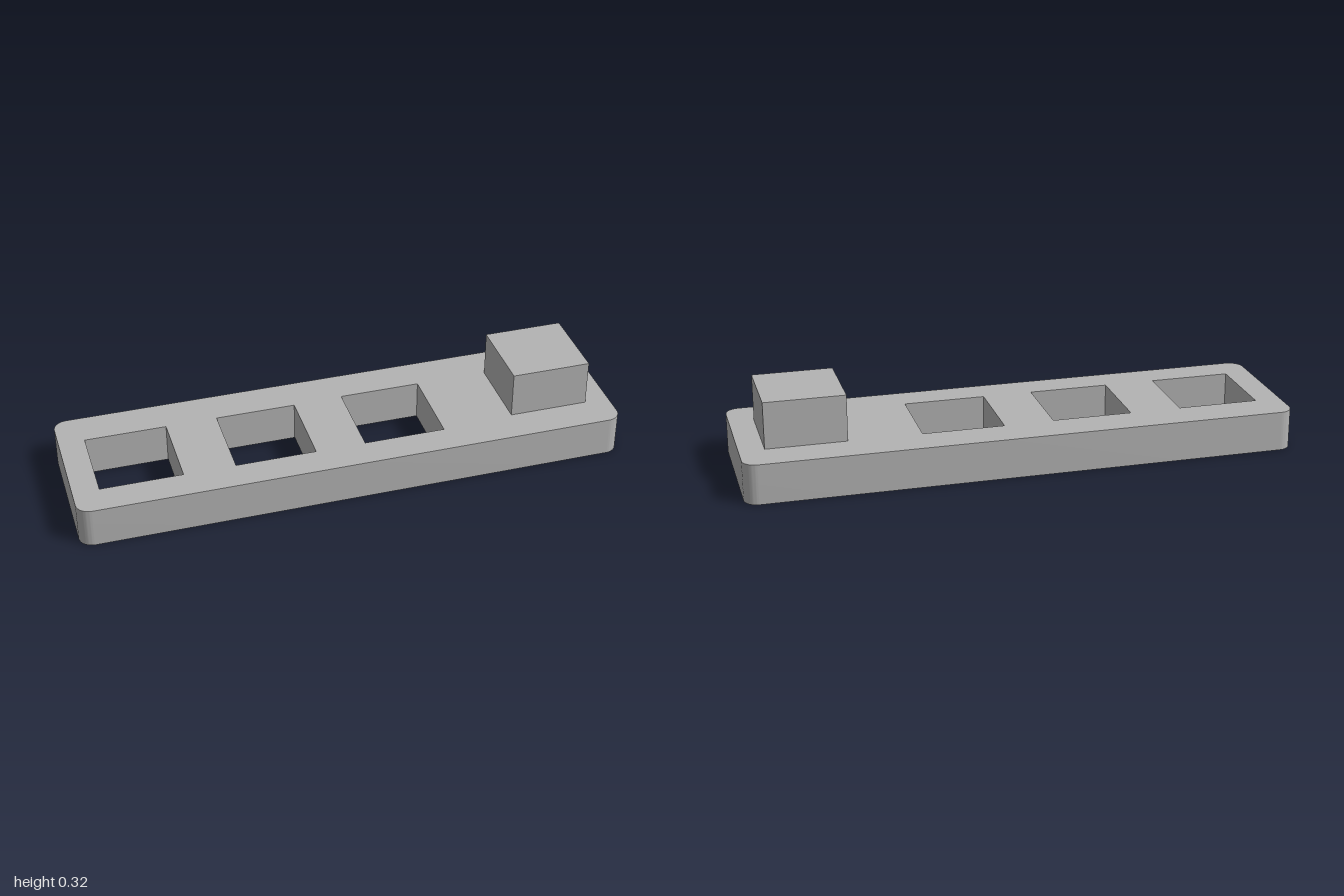
import * as THREE from 'three';
import { toCreasedNormals } from 'three/addons/utils/BufferGeometryUtils.js';

const LENGTH = 2, DEPTH = 0.553, THICK = 0.147, RADIUS = 0.05;
const TOP = 0.318;

// Rectangular hole given by its x and z limits (shape y is -z)
function rectHole(x0, x1, z0, z1) {
  return new THREE.Path([
    new THREE.Vector2(x0, -z0),
    new THREE.Vector2(x1, -z0),
    new THREE.Vector2(x1, -z1),
    new THREE.Vector2(x0, -z1),
  ]);
}

// Bar outline with rounded vertical corners
function roundedRect(w, h, r) {
  const x = w / 2 - r, y = h / 2 - r;
  const s = new THREE.Shape();
  s.absarc(x, y, r, 0, Math.PI / 2);
  s.absarc(-x, y, r, Math.PI / 2, Math.PI);
  s.absarc(-x, -y, r, Math.PI, Math.PI * 1.5);
  s.absarc(x, -y, r, Math.PI * 1.5, Math.PI * 2);
  s.closePath();
  return s;
}

export function createModel() {
  const group = new THREE.Group();
  const grey = new THREE.MeshStandardMaterial({ color: 0xb3b3b3 });
  grey.name = 'grey';

  // Flat bar with three square through holes
  const outline = roundedRect(LENGTH, DEPTH, RADIUS);
  outline.holes.push(
    rectHole(-0.905, -0.608, -0.138, 0.161),
    rectHole(-0.42, -0.127, -0.138, 0.161),
    rectHole(0.055, 0.353, -0.143, 0.161),
  );
  const barGeometry = new THREE.ExtrudeGeometry(outline, {
    depth: THICK, bevelEnabled: false, curveSegments: 10,
  });
  barGeometry.rotateX(-Math.PI / 2);
  const bar = new THREE.Mesh(toCreasedNormals(barGeometry, 0.6), grey);
  bar.name = 'bar';
  group.add(bar);

  // Square block standing on the left end
  const block = new THREE.Mesh(new THREE.BoxGeometry(0.291, TOP - THICK, 0.289), grey);
  block.position.set(0.764, (TOP + THICK) / 2, 0.001);
  block.name = 'block';
  group.add(block);

  return group;
}
